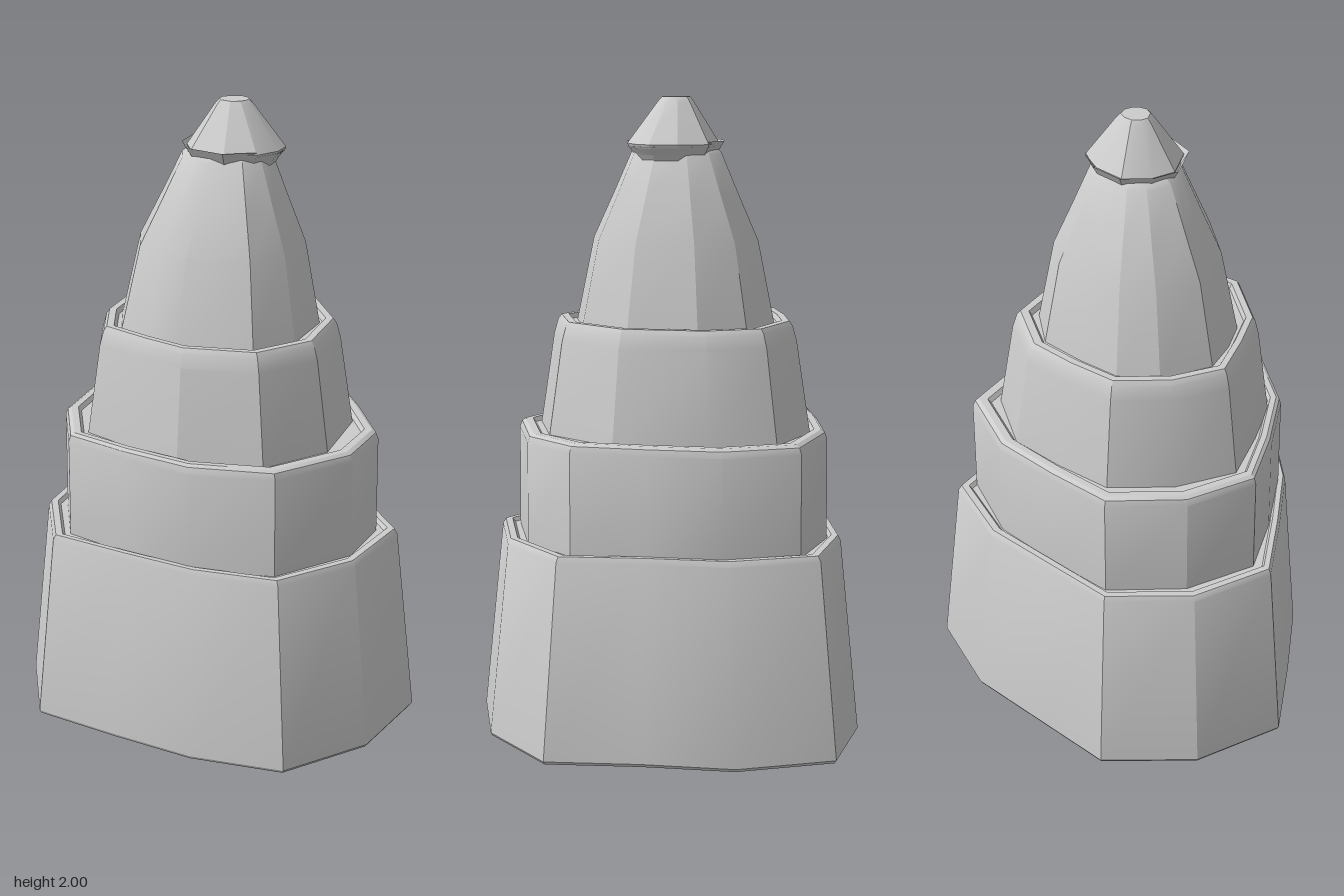
import * as THREE from 'three';
import { toCreasedNormals } from 'three/addons/utils/BufferGeometryUtils.js';

const material = new THREE.MeshStandardMaterial({ color: 0xcccccc });
const thinMaterial = new THREE.MeshStandardMaterial({ color: 0xcccccc, side: THREE.DoubleSide });

// Closed solid: one irregular outline [x, z] repeated at rows of [height, scale] about a centre.
function tier(name, outline, rows, [cx, cz]) {
  const position = [];
  const n = outline.length;
  const rings = rows.map(([y, s]) =>
    outline.map(([x, z]) => [cx + (x - cx) * s, y, cz + (z - cz) * s]));
  const tri = (a, b, c) => position.push(...a, ...b, ...c);
  for (let i = 0; i < n; i++) {
    const j = (i + 1) % n;
    for (let r = 0; r < rings.length - 1; r++) {
      const lo = rings[r], hi = rings[r + 1];
      tri(lo[i], hi[i], lo[j]);
      tri(lo[j], hi[i], hi[j]);
    }
    const top = rings[rings.length - 1];
    tri([cx, rows[0][0], cz], rings[0][i], rings[0][j]);
    tri([cx, rows[rows.length - 1][0], cz], top[j], top[i]);
  }
  const geometry = new THREE.BufferGeometry();
  geometry.setAttribute('position', new THREE.Float32BufferAttribute(position, 3));
  const mesh = new THREE.Mesh(toCreasedNormals(geometry, 0.45), material);
  mesh.name = name;
  return mesh;
}

// Open band following part of an outline, leaning outward towards its top.
function band(name, points, yLow, yHigh, sLow, [cx, cz]) {
  const position = [], index = [];
  points.forEach(([x, z], i) => {
    position.push(cx + (x - cx) * sLow, yLow, cz + (z - cz) * sLow, x, yHigh, z);
    if (i) index.push(2 * i - 2, 2 * i - 1, 2 * i, 2 * i, 2 * i - 1, 2 * i + 1);
  });
  const geometry = new THREE.BufferGeometry();
  geometry.setAttribute('position', new THREE.Float32BufferAttribute(position, 3));
  geometry.setIndex(index);
  const mesh = new THREE.Mesh(toCreasedNormals(geometry, 0.45), thinMaterial);
  mesh.name = name;
  return mesh;
}

export function createModel() {
  const group = new THREE.Group();
  group.name = 'steppedSpire';

  // Broad tapered base
  const base = [[0.1, -0.62], [0.41, -0.595], [0.55, -0.31], [0.57, -0.02], [0.613, 0.275],
    [0.4, 0.51], [0.105, 0.62], [-0.17, 0.485], [-0.39, 0.31], [-0.613, 0.12],
    [-0.6, -0.19], [-0.44, -0.46], [-0.17, -0.54]];
  group.add(tier('baseTier', base,
    [[0, 0.99], [0.01, 1], [0.62, 0.895], [0.637, 0.88], [0.637, 0.845], [0.625, 0.83]], [0, 0]));

  // Upright second tier
  const second = [[0.09, -0.51], [0.355, -0.47], [0.47, -0.25], [0.485, -0.01], [0.485, 0.22],
    [0.36, 0.39], [0.095, 0.495], [-0.16, 0.4], [-0.34, 0.24], [-0.49, 0.08],
    [-0.475, -0.16], [-0.35, -0.38], [-0.14, -0.45]];
  group.add(tier('secondTier', second,
    [[0.6, 1], [0.945, 0.995], [0.965, 0.98], [0.973, 0.955], [0.973, 0.91], [0.96, 0.89]], [0, 0]));

  // Tapered third tier with a rounded shoulder
  const third = [[0.08, -0.45], [0.31, -0.385], [0.41, -0.2], [0.425, 0.1], [0.29, 0.335],
    [0.07, 0.425], [-0.18, 0.33], [-0.3, 0.2], [-0.42, 0.05], [-0.385, -0.15],
    [-0.28, -0.33], [-0.1, -0.4]];
  group.add(tier('thirdTier', third,
    [[0.94, 1.01], [1.25, 0.9], [1.295, 0.87], [1.31, 0.845], [1.31, 0.79], [1.295, 0.77]], [0, 0]));

  // Upper spire narrowing to a neck
  const upper = [[0.08, -0.335], [0.23, -0.275], [0.315, -0.14], [0.315, 0.08], [0.2, 0.25],
    [0.06, 0.305], [-0.16, 0.215], [-0.24, 0.13], [-0.305, 0.03], [-0.28, -0.14], [-0.2, -0.245], [-0.07, -0.295]];
  const axis = [0.055, -0.02];
  group.add(tier('upperSpire', upper,
    [[1.27, 1.02], [1.56, 0.83], [1.7, 0.63], [1.83, 0.45], [1.845, 0.4]], axis));

  // Tip: faceted cone over a short collar, with a lip standing off one side
  const rim = [[0.06, -0.17], [0.155, -0.14], [0.21, -0.055], [0.21, 0.035], [0.175, 0.09],
    [0.1, 0.13], [-0.005, 0.13], [-0.1, 0.035], [-0.1, -0.055], [-0.05, -0.14]];
  const coneRim = rim.map(([x, z], i) => {
    const k = i >= 6 || i === 0 ? 0.9 : 1;
    return [axis[0] + (x - axis[0]) * k, axis[1] + (z - axis[1]) * k];
  });
  group.add(tier('collar', coneRim, [[1.805, 0.8], [1.825, 0.87], [1.85, 0.99]], axis));
  group.add(tier('tipCone', coneRim, [[1.845, 0.97], [1.857, 1], [1.985, 0.39], [2, 0.3]], axis));
  group.add(band('tipLip', [...rim.slice(5), rim[0], rim[1]], 1.82, 1.865, 0.82, axis));
  return group;
}
